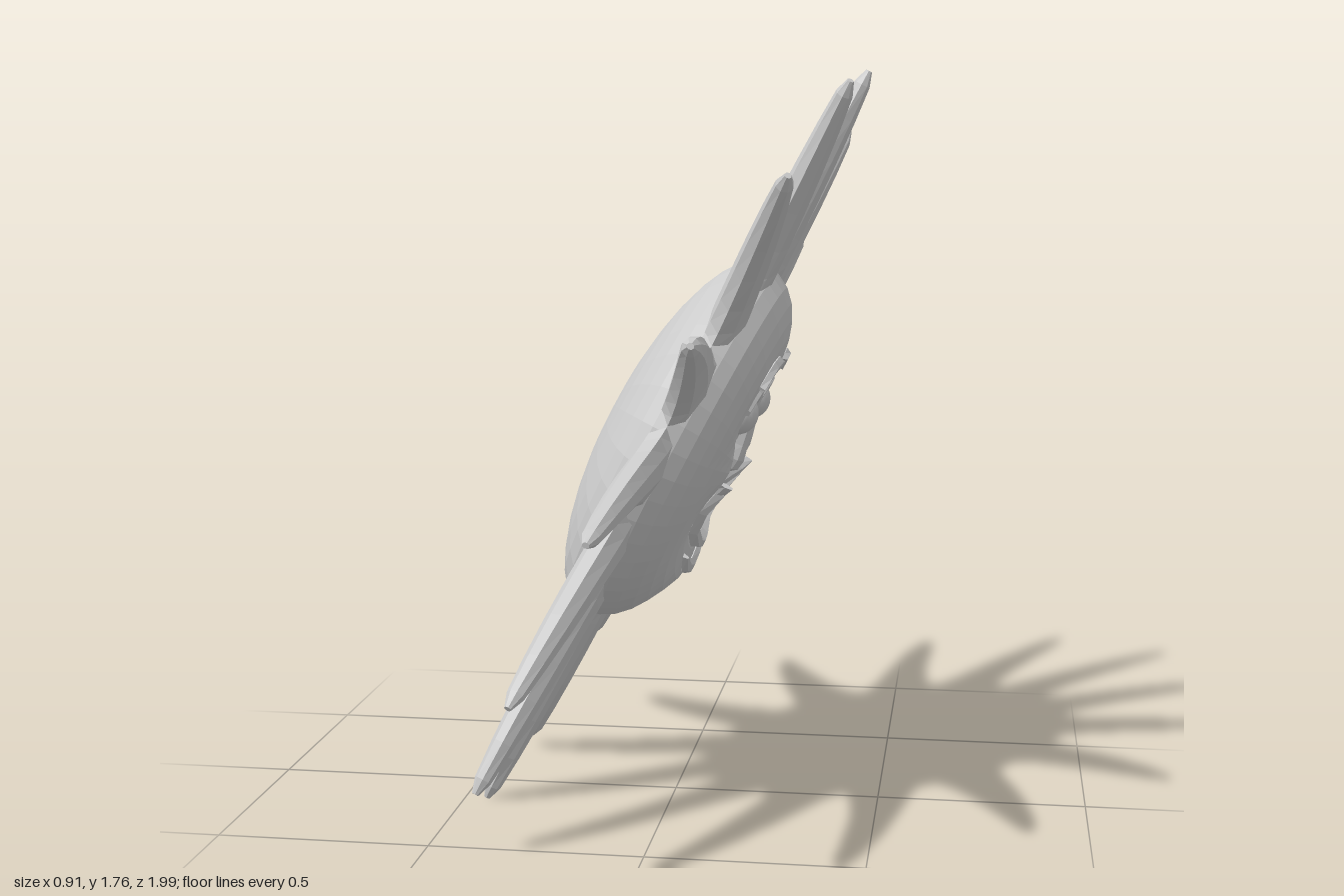
import * as THREE from 'three';

const material = new THREE.MeshStandardMaterial({ color: 0xcccccc, flatShading: true });
const smoothMaterial = new THREE.MeshStandardMaterial({ color: 0xcccccc });

function addMesh(parent, name, geometry, mat = material) {
  const mesh = new THREE.Mesh(geometry, mat);
  mesh.name = name;
  parent.add(mesh);
  return mesh;
}

// Tapered solid along a path; each point is [x, y, z, half width, half depth].
function taper(points, sides = 8) {
  const pos = [], index = [], n = points.length;
  points.forEach(([x, y, z, w, d], i) => {
    const a = points[Math.max(i - 1, 0)], b = points[Math.min(i + 1, n - 1)];
    const len = Math.hypot(b[0] - a[0], b[1] - a[1]);
    const sx = -(b[1] - a[1]) / len, sy = (b[0] - a[0]) / len;
    for (let j = 0; j < sides; j++) {
      const t = (j / sides) * Math.PI * 2;
      pos.push(x + sx * w * Math.cos(t), y + sy * w * Math.cos(t), z + d * Math.sin(t));
    }
  });
  for (let i = 0; i < n - 1; i++) {
    for (let j = 0; j < sides; j++) {
      const k = (j + 1) % sides, a = i * sides, b = a + sides;
      index.push(a + j, a + k, b + k, a + j, b + k, b + j);
    }
  }
  const last = (n - 1) * sides;
  for (let j = 1; j < sides - 1; j++) index.push(0, j + 1, j, last, last + j, last + j + 1);
  const g = new THREE.BufferGeometry();
  g.setAttribute('position', new THREE.Float32BufferAttribute(pos, 3));
  g.setIndex(index);
  g.computeVertexNormals();
  return g;
}

const bump = (x, y, cx, cy, rx, ry) => Math.exp(-(((x - cx) / rx) ** 2) - ((y - cy) / ry) ** 2);

// Height of the face relief over its flattened dome.
function relief(x, y) {
  const ax = Math.abs(x);
  return 0.03 * bump(x, y, 0, -0.27, 0.2, 0.09)      // chin
    + 0.022 * bump(ax, y, 0.2, 0.02, 0.08, 0.07)     // cheeks
    - 0.035 * bump(ax, y, 0.13, 0.15, 0.075, 0.06)   // eye sockets
    - 0.05 * bump(x, y, 0, -0.12, 0.11, 0.05);       // mouth
}

const FRONT = [[0.475, 0], [0.465, 0.035], [0.445, 0.07], [0.415, 0.098], [0.38, 0.117], [0.34, 0.13],
  [0.3, 0.137], [0.26, 0.14], [0.22, 0.14], [0.18, 0.139], [0.14, 0.137], [0.1, 0.135], [0.06, 0.133],
  [0.03, 0.132], [0, 0.132]];

function surface(x, y) {
  const r = Math.hypot(x, y);
  let i = 1;
  while (i < FRONT.length - 1 && FRONT[i][0] > r) i++;
  const [r0, z0] = FRONT[i - 1], [r1, z1] = FRONT[i];
  return z0 + (z1 - z0) * ((r - r0) / (r1 - r0)) + relief(x, y);
}

function lathe(profile, segments) {
  return new THREE.LatheGeometry(profile.map(p => new THREE.Vector2(...p)), segments).rotateX(Math.PI / 2);
}

export function createModel() {
  const model = new THREE.Group();
  model.name = 'sun';
  const sun = new THREE.Group();
  sun.name = 'tiltedSun';
  model.add(sun);

  // Domed back
  const back = [];
  for (let i = 0; i <= 9; i++) {
    const t = (i / 9) * Math.PI / 2;
    back.push([0.475 * Math.sin(t), -0.165 * Math.cos(t)]);
  }
  addMesh(sun, 'back', lathe(back, 32));

  // Face with modelled relief
  const face = lathe(FRONT, 48);
  const p = face.attributes.position;
  for (let i = 0; i < p.count; i++) p.setZ(i, p.getZ(i) + relief(p.getX(i), p.getY(i)));
  face.computeVertexNormals();
  addMesh(sun, 'face', face);

  // Fourteen curved rays: radius, half width, half depth
  const RAY = [[0.38, 0.125, 0.04], [0.45, 0.112, 0.042], [0.49, 0.086, 0.042], [0.56, 0.07, 0.04],
    [0.66, 0.058, 0.037], [0.76, 0.048, 0.033], [0.87, 0.035, 0.027], [0.96, 0.021, 0.02], [0.995, 0.007, 0.008]];
  for (let k = 0; k < 14; k++) {
    const base = (k / 14) * Math.PI * 2;
    const path = RAY.map(([r, w, d]) => {
      const a = base + 0.075 * Math.pow(Math.max(r - 0.45, 0) / 0.55, 1.4);
      return [r * Math.cos(a), r * Math.sin(a), 0, w, d];
    });
    addMesh(sun, 'ray', taper(path, 8));
  }

  // Eyes, eyelids and brows
  for (const s of [-1, 1]) {
    const eye = addMesh(sun, 'eye', new THREE.SphereGeometry(0.052, 20, 14), smoothMaterial);
    eye.position.set(s * 0.134, 0.148, 0.108);

    const brow = [[0.05, 0.292, 0.008], [0.09, 0.292, 0.016], [0.14, 0.282, 0.017], [0.18, 0.262, 0.012], [0.215, 0.238, 0.004]]
      .map(([x, y, w]) => [s * x, y, surface(x, y), w, 0.016]);
    addMesh(sun, 'brow', taper(brow, 6));

    const lid = [[0.06, 0.175], [0.1, 0.212], [0.15, 0.212], [0.2, 0.17]]
      .map(([x, y]) => [s * x, y, surface(x, y), 0.014, 0.014]);
    addMesh(sun, 'eyelid', taper(lid, 6));
  }

  // Nose: narrow bridge widening to the tip
  const nose = [[0.2, 0.012, 0.012], [0.13, 0.016, 0.022], [0.06, 0.025, 0.038], [0.025, 0.037, 0.046],
    [0.0, 0.033, 0.042], [-0.018, 0.014, 0.02]];
  addMesh(sun, 'nose', taper(nose.map(([y, w, d]) => [0.005, y, 0.126, w, d]), 8));

  // Lips: [x, y, half width], mirrored into full smiles
  const smile = (name, half, depth, lift) => {
    const full = [...half.map(([x, y, w]) => [-x, y, w]), ...half.slice(0, -1).reverse()];
    const path = full.map(([x, y, w]) => [x, y, surface(x, y) + lift, w, depth]);
    addMesh(sun, name, taper(path, 6));
  };
  smile('upperLip', [[0.205, -0.004, 0.005], [0.16, -0.03, 0.015], [0.1, -0.046, 0.02], [0.05, -0.055, 0.02], [0, -0.062, 0.018]], 0.02, 0.008);
  smile('lowerLip', [[0.165, -0.035, 0.006], [0.14, -0.1, 0.012], [0.1, -0.158, 0.016], [0.05, -0.192, 0.018], [0, -0.2, 0.018]], 0.024, 0.006);
  smile('chinFold', [[0.14, -0.215, 0.005], [0.08, -0.25, 0.018], [0, -0.268, 0.022]], 0.016, 0);

  // Two front teeth
  for (const s of [-1, 1]) {
    const tooth = addMesh(sun, 'tooth', new THREE.BoxGeometry(0.06, 0.085, 0.03));
    tooth.position.set(s * 0.034, -0.118, 0.118);
  }

  // Face looks toward +x and leans downward
  const tilt = Math.atan2(0.453, 0.891);
  sun.setRotationFromMatrix(new THREE.Matrix4().makeBasis(
    new THREE.Vector3(0, 0, -1),
    new THREE.Vector3(Math.sin(tilt), Math.cos(tilt), 0),
    new THREE.Vector3(Math.cos(tilt), -Math.sin(tilt), 0)));
  sun.position.y = 0.875;
  return model;
}
